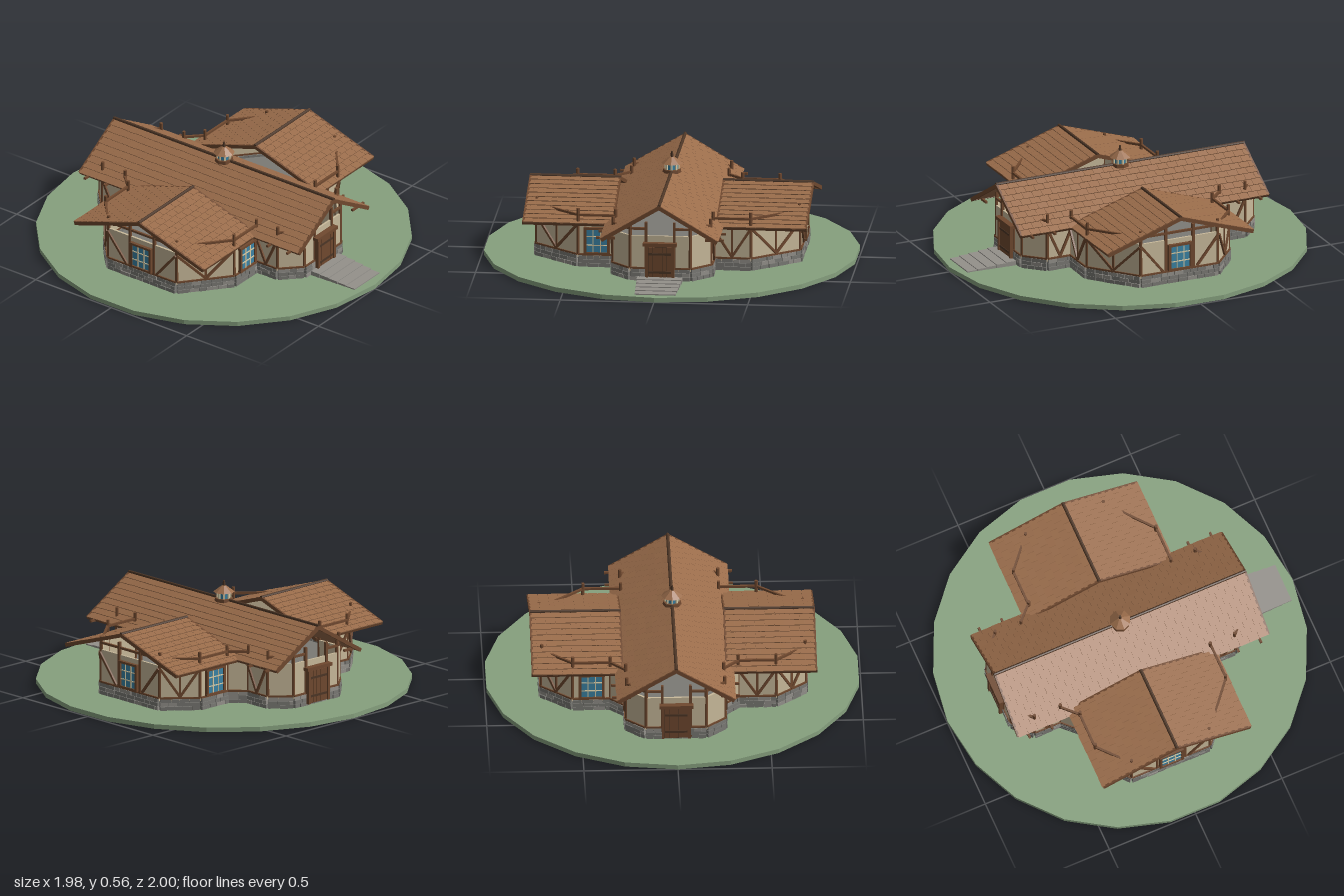
import * as THREE from 'three';
import { mergeGeometries } from 'three/addons/utils/BufferGeometryUtils.js';

const mat = (name, hex) => {
  const m = new THREE.MeshStandardMaterial({ color: hex });
  m.name = name;
  m.flatShading = true;
  return m;
};

export function createModel() {
  const M = {
    grass: mat('grass', 0x86a07e), roof: mat('roof shingles', 0x9b6d4b),
    timber: mat('timber', 0x70492f), dark: mat('dark timber', 0x4d3626),
    plaster: mat('plaster', 0xc9ba9b), stone: mat('stone', 0x7b7a75),
    paleStone: mat('pale stone', 0x94918b), glass: mat('glass', 0x3b84a6),
    cream: mat('cream bars', 0xd8cda8),
  };
  const model = new THREE.Group();
  model.name = 'timberHall';

  let seed = 7;
  const rand = () => (seed = (seed * 16807) % 2147483647) / 2147483647;

  const mesh = (name, geo, material, parent, x = 0, y = 0, z = 0) => {
    const m = new THREE.Mesh(geo, material);
    m.name = name;
    m.position.set(x, y, z);
    parent.add(m);
    return m;
  };
  const box = (name, material, parent, w, h, d, x, y, z) =>
    mesh(name, new THREE.BoxGeometry(w, h, d), material, parent, x, y, z);
  const group = (name, parent) => {
    const g = new THREE.Group();
    g.name = name;
    parent.add(g);
    return g;
  };
  // Straight timber between two points on a wall's face
  const brace = (parent, x0, y0, x1, y1, z) => {
    const b = box('brace', M.timber, parent, Math.hypot(x1 - x0, y1 - y0), 0.013, 0.012,
      (x0 + x1) / 2, (y0 + y1) / 2, z);
    b.rotation.z = Math.atan2(y1 - y0, x1 - x0);
  };

  mesh('lawn', new THREE.CylinderGeometry(1, 1, 0.025, 22), M.grass, model, 0, 0.0125, 0);

  // Cross-shaped plan with cut corners; right half, mirrored to the left
  const half = [[0.16, 0.65], [0.26, 0.55], [0.26, 0.41], [0.46, 0.41], [0.7, 0.21], [0.7, -0.24],
    [0.54, -0.38], [0.34, -0.38], [0.26, -0.46], [0.26, -0.61], [0.16, -0.7]];
  const plan = [...half, ...half.map(([x, z]) => [-x, z]).reverse()];
  // One letter per wall: p plain, v braced, w window, d door
  const kinds = 'pvvvwvwpvpdpvpvvwvwvpd';
  const unrailed = [1, 8, 12, 19];

  const floor = new THREE.Shape(plan.map(([x, z]) => new THREE.Vector2(x, -z)));
  const floorGeo = new THREE.ExtrudeGeometry(floor, { depth: 0.05, bevelEnabled: false });
  floorGeo.rotateX(-Math.PI / 2);
  mesh('floor', floorGeo, M.stone, model, 0, 0.025, 0);

  const addWindow = (wall) => {
    const g = group('window', wall);
    g.position.set(0, 0.17, 0.012);
    box('glass', M.glass, g, 0.116, 0.13, 0.008, 0, 0, 0);
    for (const s of [-1, 1]) {
      box('frameSide', M.timber, g, 0.014, 0.15, 0.018, s * 0.062, 0, 0.003);
      box('frameRail', M.timber, g, 0.14, 0.012, 0.018, 0, s * 0.068, 0.003);
      box('crossBar', M.cream, g, 0.112, 0.005, 0.008, 0, s * 0.024, 0.004);
      box('uprightBar', M.cream, g, 0.005, 0.126, 0.008, s * 0.02, 0, 0.004);
    }
  };
  const addDoor = (wall) => {
    const g = group('door', wall);
    for (let i = 0; i < 5; i++)
      box('doorPlank', M.timber, g, 0.023, 0.175, 0.012, (i - 2) * 0.025, 0.125, 0.02);
    box('doorBack', M.dark, g, 0.13, 0.18, 0.01, 0, 0.125, 0.017);
    for (const y of [0.075, 0.175]) box('doorBand', M.dark, g, 0.12, 0.012, 0.008, 0, y, 0.025);
    for (const s of [-1, 1]) {
      box('doorJamb', M.timber, g, 0.015, 0.19, 0.026, s * 0.07, 0.13, 0.02);
      box('doorPost', M.timber, g, 0.014, 0.31, 0.016, s * 0.075, 0.19, 0.004);
    }
    box('doorLintel', M.timber, g, 0.18, 0.018, 0.034, 0, 0.228, 0.022);
  };

  const stones = [[], []];
  plan.forEach(([ax, az], i) => {
    const [bx, bz] = plan[(i + 1) % plan.length];
    const L = Math.hypot(bx - ax, bz - az), kind = kinds[i];
    const wall = group('wall', model);
    wall.position.set((ax + bx) / 2, 0, (az + bz) / 2);
    wall.rotation.y = Math.atan2(az - bz, bx - ax);
    wall.updateMatrix();
    box('plasterPanel', M.plaster, wall, L, 0.195, 0.012, 0, 0.1725, 0);
    box('sill', M.timber, wall, L, 0.01, 0.022, 0, 0.093, 0.002);

    // Rubble base in three courses
    for (let row = 0; row < 3; row++) {
      for (let x = -L / 2; x < L / 2 - 0.001;) {
        let w = 0.035 + rand() * 0.03;
        if (x + w > L / 2 - 0.02) w = L / 2 - x;
        const g = new THREE.BoxGeometry(w - 0.003, 0.0195, 0.026 + rand() * 0.008);
        g.translate(x + w / 2, 0.036 + row * 0.0213, 0);
        stones[rand() < 0.25 ? 1 : 0].push(g.applyMatrix4(wall.matrix));
        x += w;
      }
    }
    if (kind === 'v') {
      brace(wall, -L / 2, 0.255, 0, 0.1, 0.01);
      brace(wall, L / 2, 0.255, 0, 0.1, 0.01);
      if (L > 0.18) box('stud', M.timber, wall, 0.012, 0.17, 0.014, 0, 0.18, 0.004);
    }
    if (kind === 'w') {
      addWindow(wall);
      if (L > 0.3) for (const s of [-1, 1]) {
        box('stud', M.timber, wall, 0.014, 0.25, 0.016, s * 0.08, 0.215, 0.004);
        brace(wall, s * L / 2, 0.255, s * 0.1, 0.1, 0.01);
      }
    }
    // Rail joining the post heads, left open above doors
    if (kind === 'd') {
      addDoor(wall);
      for (const s of [-1, 1])
        box('rail', M.timber, wall, L / 2 - 0.07, 0.012, 0.012, s * (L / 4 + 0.035), 0.308, 0.002);
    } else if (!unrailed.includes(i)) {
      box('rail', M.timber, wall, L, 0.012, 0.012, 0, 0.308, 0.002);
    }
    mesh('cornerPost', new THREE.CylinderGeometry(0.009, 0.01, 0.25, 7), M.timber, model, ax, 0.218, az);
  });
  mesh('stoneBase', mergeGeometries(stones[0]), M.stone, model);
  mesh('paleBaseStones', mergeGeometries(stones[1]), M.paleStone, model);

  // Open gable roof running along local z
  const addRoof = (name, length, halfWidth, eaveY, ridgeY) => {
    const roof = group(name, model);
    const rise = ridgeY - eaveY, slope = Math.hypot(halfWidth, rise);
    for (const s of [0, 1]) {
      const side = group('roofSide', roof);
      side.position.y = ridgeY;
      side.rotation.set(0, s * Math.PI, 0);
      const pitch = group('pitch', side);
      pitch.rotation.z = -Math.atan2(rise, halfWidth);
      box('deck', M.roof, pitch, slope, 0.01, length, slope / 2, -0.008, 0);
      // Overlapping shingle courses
      const tiles = [];
      const rows = Math.round(slope / 0.042), step = slope / rows;
      for (let r = 0; r < rows; r++) {
        const n = Math.round(length / 0.055), w = length / n;
        const shift = r % 2 ? w / 2 : 0;
        for (let k = 0; k < n + (r % 2); k++) {
          const z0 = Math.max(-length / 2, -length / 2 + k * w - shift);
          const z1 = Math.min(length / 2, -length / 2 + (k + 1) * w - shift);
          const g = new THREE.BoxGeometry(step * 1.12 + rand() * 0.005, 0.005, z1 - z0 - 0.0015);
          g.rotateZ(0.09 + rand() * 0.03);
          g.translate((r + 0.5) * step, 0, (z0 + z1) / 2);
          tiles.push(g);
        }
      }
      mesh('shingles', mergeGeometries(tiles), M.roof, pitch);
      for (const e of [-1, 1])
        box('bargeBoard', M.timber, pitch, slope, 0.02, 0.012, slope / 2, -0.007, e * (length / 2));
      box('eaveBoard', M.timber, pitch, 0.01, 0.014, length, slope - 0.003, -0.008, 0);
    }
    const ridge = mesh('ridgePole', new THREE.CylinderGeometry(0.009, 0.009, length + 0.01, 8),
      M.dark, roof, 0, ridgeY + 0.001, 0);
    ridge.rotation.x = Math.PI / 2;
    return roof;
  };
  addRoof('mainRoof', 1.45, 0.312, 0.265, 0.452);
  for (const s of [-1, 1]) {
    const wing = addRoof('wingRoof', 0.475, 0.428, 0.265, 0.406);
    wing.rotation.y = Math.PI / 2;
    wing.position.x = s * 0.515;
    // Beam ends under the main eaves
    for (const z of [-0.67, -0.54, 0.54, 0.67])
      box('beamEnd', M.timber, model, 0.1, 0.012, 0.012, s * 0.29, 0.257, z);
  }

  // Ridge lantern
  const lantern = group('lantern', model);
  const drum = (name, r0, r1, h, y, m) =>
    mesh(name, new THREE.CylinderGeometry(r0, r1, h, 8), m, lantern, 0, y, 0);
  drum('lanternBase', 0.048, 0.05, 0.018, 0.451, M.timber);
  drum('lanternGlass', 0.034, 0.034, 0.036, 0.476, M.glass);
  for (let i = 0; i < 8; i++) {
    const a = (i * Math.PI) / 4;
    box('lanternPost', M.cream, lantern, 0.01, 0.036, 0.01,
      Math.sin(a) * 0.034, 0.476, Math.cos(a) * 0.034).rotation.y = a;
  }
  drum('lanternRoof', 0.012, 0.058, 0.034, 0.51, M.roof);
  drum('finial', 0.006, 0.008, 0.03, 0.54, M.dark);

  // Broad low steps to the front door
  const steps = group('frontSteps', model);
  for (let i = 0; i < 5; i++) {
    const h = 0.024 - i * 0.0045;
    box('step', M.paleStone, steps, 0.24 - i * 0.005, h, 0.056, 0, 0.025 + h / 2, 0.695 + i * 0.056);
  }
  return model;
}
